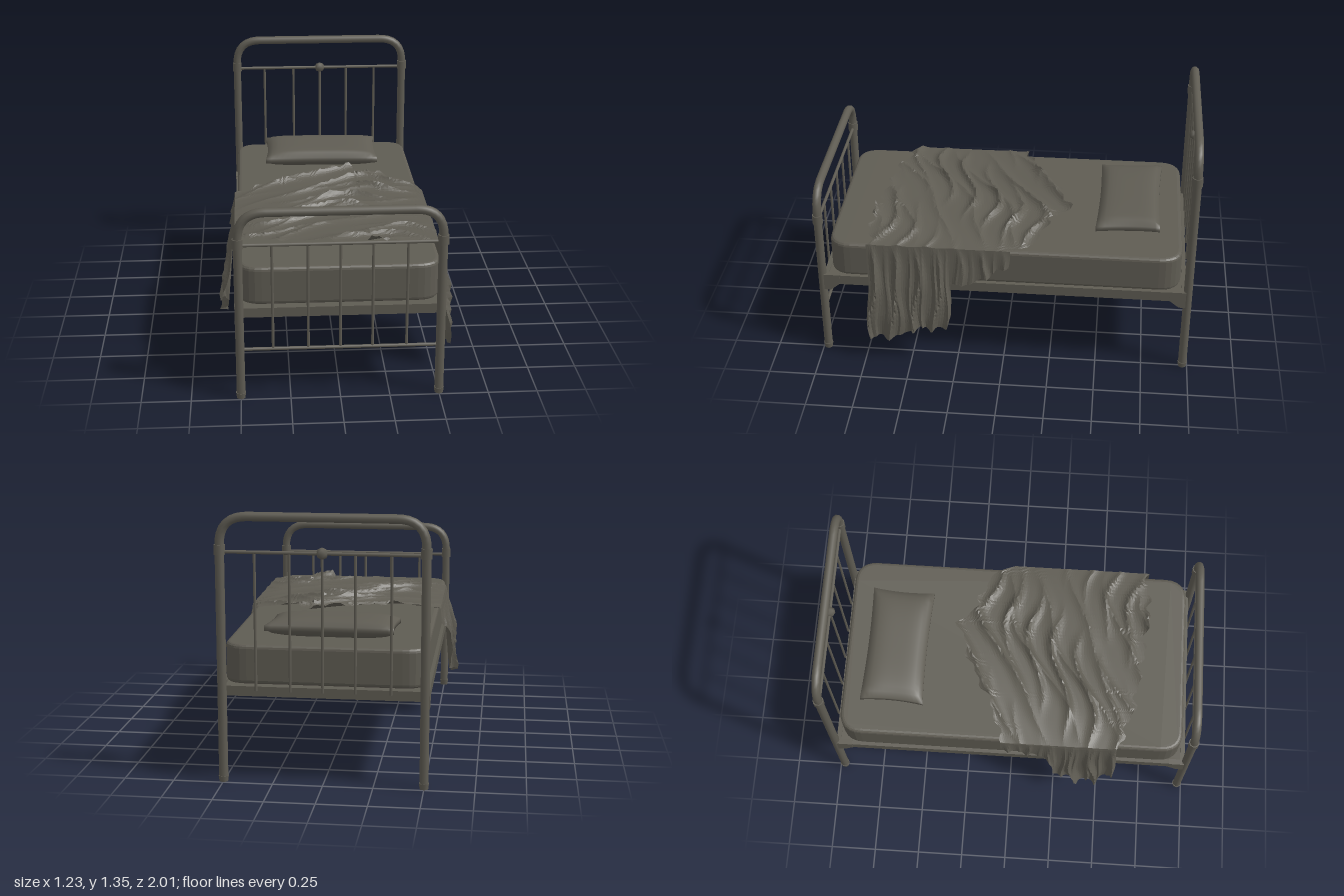
import * as THREE from 'three';
import { mergeVertices } from 'three/addons/utils/BufferGeometryUtils.js';

export function createModel() {
  const bed = new THREE.Group();
  bed.name = 'bed';
  const clay = new THREE.MeshStandardMaterial({ color: 0x5f5c53, side: THREE.DoubleSide });
  clay.name = 'dark warm grey';

  const add = (name, geo, x = 0, y = 0, z = 0) => {
    const m = new THREE.Mesh(geo, clay);
    m.name = name;
    m.position.set(x, y, z);
    bed.add(m);
    return m;
  };
  const box = (name, w, h, d, x, y, z) => add(name, new THREE.BoxGeometry(w, h, d), x, y, z);
  const V = (x, y, z) => new THREE.Vector3(x, y, z);
  const barX = (name, len, r, y, z) =>
    add(name, new THREE.CylinderGeometry(r, r, len, 8), 0, y, z).rotation.z = Math.PI / 2;
  const barY = (name, x, y0, y1, r, z) =>
    add(name, new THREE.CylinderGeometry(r, r, y1 - y0, 8), x, (y0 + y1) / 2, z);

  // Bent tube hoop forming two legs and the top rail
  const hoop = (name, top, z) => {
    const X = 0.5, c = 0.14, path = new THREE.CurvePath();
    path.add(new THREE.LineCurve3(V(-X, 0.02, z), V(-X, top - c, z)));
    path.add(new THREE.QuadraticBezierCurve3(V(-X, top - c, z), V(-X, top, z), V(-X + c, top, z)));
    path.add(new THREE.LineCurve3(V(-X + c, top, z), V(X - c, top, z)));
    path.add(new THREE.QuadraticBezierCurve3(V(X - c, top, z), V(X, top, z), V(X, top - c, z)));
    path.add(new THREE.LineCurve3(V(X, top - c, z), V(X, 0.02, z)));
    add(name, new THREE.TubeGeometry(path, 120, 0.023, 10));
    for (const x of [-X, X]) add('foot', new THREE.CylinderGeometry(0.026, 0.022, 0.03, 10), x, 0.025, z);
  };

  // Headboard and footboard
  const zEnd = 0.975, rods = [-0.335, -0.16, 0, 0.16, 0.33];
  hoop('headboardHoop', 1.343, -zEnd);
  hoop('footboardHoop', 1.01, zEnd);
  barX('headboardBar', 1, 0.009, 1.17, -zEnd);
  barX('footboardTopBar', 1, 0.009, 0.84, zEnd);
  barX('footboardLowerBar', 1, 0.009, 0.28, zEnd);
  for (const x of rods) {
    barY('headboardRod', x, 0.48, 1.17, 0.007, -zEnd);
    barY('footboardRod', x, 0.28, 0.84, 0.007, zEnd);
  }
  add('headboardKnob', new THREE.OctahedronGeometry(0.03, 1), 0, 1.17, -zEnd);
  for (const x of [-0.5, 0.5]) {
    add('headboardCollar', new THREE.CylinderGeometry(0.028, 0.028, 0.05, 10), x, 1.18, -zEnd);
    add('footboardCollar', new THREE.CylinderGeometry(0.028, 0.028, 0.05, 10), x, 0.85, zEnd);
  }

  // Rails, base and corner brackets
  for (const s of [-1, 1]) {
    box('sideRail', 0.025, 0.055, 1.93, s * 0.508, 0.478, 0);
    box('endRail', 1.0, 0.05, 0.025, 0, 0.475, s * 0.955);
    for (const e of [-1, 1]) {
      const b = new THREE.Shape([[0, -0.065], [0.035, -0.065], [0.085, -0.025], [0.085, 0.03], [0, 0.03]]
        .map(p => new THREE.Vector2(...p)));
      const g = new THREE.ExtrudeGeometry(b, { depth: 0.03, bevelEnabled: false });
      g.translate(0, 0, -0.015);
      add('cornerBracket', g, s * 0.508, 0.478, e * 0.965).rotation.y = e * Math.PI / 2;
    }
  }
  box('bedBase', 1.0, 0.04, 1.9, 0, 0.475, 0);

  // Mattress with rounded corners and piping
  const roundRect = (w, h, r) => {
    const s = new THREE.Shape();
    s.moveTo(-w + r, -h);
    s.lineTo(w - r, -h).quadraticCurveTo(w, -h, w, -h + r);
    s.lineTo(w, h - r).quadraticCurveTo(w, h, w - r, h);
    s.lineTo(-w + r, h).quadraticCurveTo(-w, h, -w, h - r);
    s.lineTo(-w, -h + r).quadraticCurveTo(-w, -h, -w + r, -h);
    return s;
  };
  const mattress = new THREE.ExtrudeGeometry(roundRect(0.485, 0.915, 0.1),
    { depth: 0.16, bevelThickness: 0.02, bevelSize: 0.02, bevelSegments: 3, curveSegments: 6 });
  mattress.rotateX(-Math.PI / 2);
  add('mattress', mattress, 0, 0.52, 0);
  const outline = roundRect(0.488, 0.92, 0.1).getPoints(8).slice(0, -1);
  for (const y of [0.52, 0.69]) {
    const loop = new THREE.CurvePath();
    outline.forEach((p, i) => {
      const q = outline[(i + 1) % outline.length];
      loop.add(new THREE.LineCurve3(V(p.x, y, p.y), V(q.x, y, q.y)));
    });
    add('mattressPiping', new THREE.TubeGeometry(loop, 200, 0.009, 6, true));
  }

  // Pillow: a box puffed in the middle and pinched at the edges
  let pillow = new THREE.BoxGeometry(2, 2, 2, 20, 2, 14);
  pillow.deleteAttribute('normal');
  pillow.deleteAttribute('uv');
  pillow = mergeVertices(pillow);
  const pp = pillow.attributes.position;
  for (let i = 0; i < pp.count; i++) {
    const x = pp.getX(i), y = pp.getY(i), z = pp.getZ(i);
    const puff = Math.pow((1 - x ** 4) * (1 - z ** 4), 0.5);
    pp.setXYZ(i, x * (0.325 - 0.012 * (1 - z * z)), y * (0.014 + 0.037 * puff), z * (0.17 - 0.01 * (1 - x * x)));
  }
  pillow.computeVertexNormals();
  const pm = add('pillow', pillow, -0.012, 0.752, -0.65);
  pm.rotation.set(0.05, -0.02, 0);

  // Crumpled blanket: a grid laid over the mattress, hanging down both sides
  const table = (pts, v) => {
    for (let i = 1; i < pts.length; i++) {
      const [a, b] = [pts[i - 1], pts[i]];
      if (v <= b[0]) return THREE.MathUtils.lerp(a[1], b[1], THREE.MathUtils.clamp((v - a[0]) / (b[0] - a[0]), 0, 1));
    }
    return pts[pts.length - 1][1];
  };
  const backEdge = [[-0.52, -0.05], [-0.4, -0.08], [-0.25, -0.15], [-0.1, -0.24], [0.15, -0.33], [0.25, -0.23], [0.44, -0.17], [0.52, -0.05]];
  const frontEdge = [[-0.52, 0.58], [-0.3, 0.66], [0, 0.7], [0.3, 0.73], [0.52, 0.71]];
  const hang = {
    '1': [[-0.05, 0.08], [0.15, 0.19], [0.27, 0.22], [0.3, 0.49], [0.5, 0.5], [0.55, 0.56], [0.72, 0.565]],
    '-1': [[-0.05, 0.08], [0.2, 0.15], [0.26, 0.4], [0.45, 0.48], [0.58, 0.34]],
  };
  const ridge = t => Math.pow(1 - Math.abs(Math.sin(t)), 2);
  const topY = (x, z) => {
    const crown = 1 - Math.pow(Math.abs(x) / 0.52, 3);
    const warp = 0.05 * Math.sin(5 * x + 1) + 0.025 * Math.sin(13 * x + 6 * z);
    const across = ridge((z + warp) * 24) * (0.5 + 0.5 * Math.sin(7 * x + 9 * z));
    const slant = ridge((z + 0.45 * x + warp) * 17 + 1);
    const back = THREE.MathUtils.smoothstep(-z, -0.25, 0.3);
    return 0.715 + 0.018 * crown + 0.03 * across * (0.4 + 0.6 * crown) + (0.014 + 0.016 * back) * slant * crown + 0.02 * back * crown;
  };
  const NU = 90, NV = 72, pos = [], idx = [];
  for (let j = 0; j <= NV; j++) {
    for (let i = 0; i <= NU; i++) {
      const s = i / NU * 2 - 1, side = Math.sign(s) || 1, v = j / NV;
      const x = side * Math.min(Math.abs(s) / 0.6, 1) * 0.52;
      let z = THREE.MathUtils.lerp(table(backEdge, x), table(frontEdge, x), v);
      z += (0.012 * Math.sin(37 * x) + 0.01 * Math.sin(71 * x + 2)) * Math.abs(2 * v - 1);
      const t = Math.max(0, (Math.abs(s) - 0.6) / 0.4);
      if (t === 0) { pos.push(x, topY(x, z), z); continue; }
      // Side drape with vertical folds that open towards the hem
      const drop = t * table(hang[side], z);
      const fold = ridge(z * 27 + 0.6 * Math.sin(9 * drop)) + 0.5 * ridge(z * 49 + 1);
      const out = 0.522 + 0.09 * Math.min(drop, 0.45) + 0.04 * fold * Math.min(1, drop * 4);
      const droop = 0.008 * Math.sin(z * 60) * t;
      pos.push(side * out, topY(x, z) - drop + droop, z + 0.012 * Math.sin(drop * 14 + z * 20) * t);
    }
  }
  for (let j = 0; j < NV; j++) for (let i = 0; i < NU; i++) {
    const a = j * (NU + 1) + i, b = a + 1, c = a + NU + 1, d = c + 1;
    idx.push(a, c, b, b, c, d);
  }
  let blanket = new THREE.BufferGeometry();
  blanket.setAttribute('position', new THREE.Float32BufferAttribute(pos, 3));
  blanket.setIndex(idx);
  blanket = blanket.toNonIndexed();
  blanket.computeVertexNormals();
  add('blanket', blanket);

  return bed;
}
